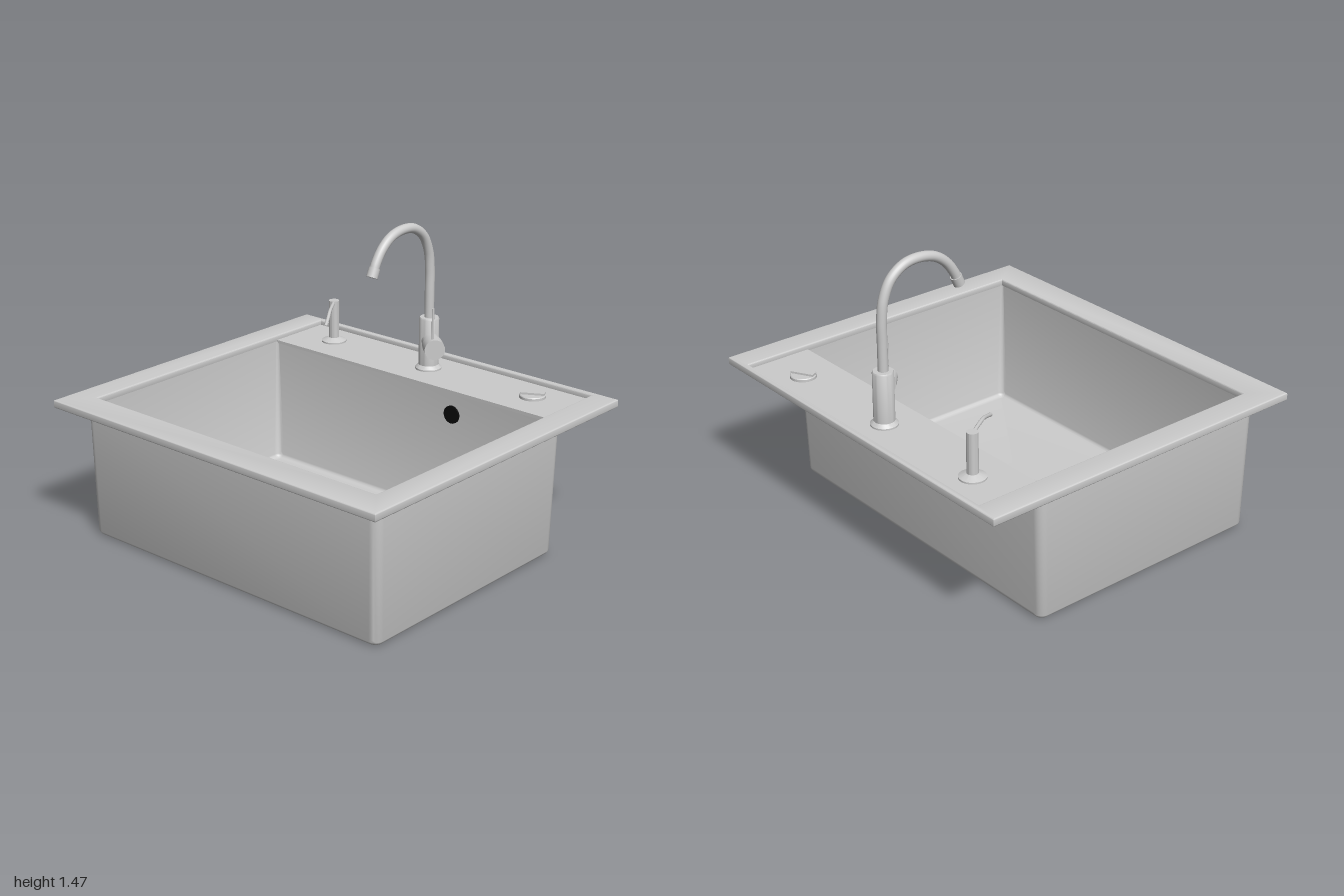
import * as THREE from 'three';
import { toCreasedNormals } from 'three/addons/utils/BufferGeometryUtils.js';

const grey = new THREE.MeshStandardMaterial({ color: 0xcccccc });
const greyDouble = new THREE.MeshStandardMaterial({ color: 0xcccccc, side: THREE.DoubleSide });
const dark = new THREE.MeshStandardMaterial({ color: 0x0a0a0a });

function add(parent, name, geometry, x = 0, y = 0, z = 0, material = grey) {
  const mesh = new THREE.Mesh(geometry, material);
  mesh.name = name;
  mesh.position.set(x, y, z);
  parent.add(mesh);
  return mesh;
}

function group(parent, name, x, y, z) {
  const g = new THREE.Group();
  g.name = name;
  g.position.set(x, y, z);
  parent.add(g);
  return g;
}

// Turned part from [radius, height] pairs, keeping its edges crisp
function turned(points, segments = 32) {
  const lathe = new THREE.LatheGeometry(points.map(p => new THREE.Vector2(...p)), segments);
  return toCreasedNormals(lathe, 0.6);
}

// Cylinder between two points
function rod(parent, name, a, b, radius) {
  const from = new THREE.Vector3(...a), to = new THREE.Vector3(...b);
  const dir = to.clone().sub(from);
  const mesh = add(parent, name, new THREE.CylinderGeometry(radius, radius, dir.length(), 28));
  mesh.position.copy(from).add(to).multiplyScalar(0.5);
  mesh.quaternion.setFromUnitVectors(new THREE.Vector3(0, 1, 0), dir.normalize());
  return mesh;
}

// Horizontal rounded rectangle, counter-clockwise seen from above
function ring(hx, zBack, zFront, r, y) {
  const points = [];
  const corners = [[hx - r, zBack + r], [-hx + r, zBack + r], [-hx + r, zFront - r], [hx - r, zFront - r]];
  corners.forEach(([cx, cz], k) => {
    for (let i = 0; i <= 6; i++) {
      const a = (k + i / 6) * Math.PI / 2;
      points.push([cx + r * Math.cos(a), y, cz - r * Math.sin(a)]);
    }
  });
  return points;
}

function loft(rings) {
  const n = rings[0].length, index = [];
  for (let i = 0; i < rings.length - 1; i++) {
    for (let j = 0; j < n; j++) {
      const k = (j + 1) % n, a = i * n + j, b = i * n + k;
      index.push(a, b, a + n, b, b + n, a + n);
    }
  }
  const g = new THREE.BufferGeometry();
  g.setAttribute('position', new THREE.Float32BufferAttribute(rings.flat(2), 3));
  g.setIndex(index);
  return toCreasedNormals(g, 0.6);
}

// Thick-walled bowl: outside from the base up, over the lip, and down to the floor
function bowlGeometry() {
  const rings = [ring(0.001, 0.1, 0.102, 0.001, 0)];
  const steps = [0, 1, 2, 3, 4, 5].map(i => i / 5 * Math.PI / 2);
  const f = 0.03;
  for (const a of steps) {
    const inset = f * (1 - Math.sin(a));
    rings.push(ring(0.9 - inset, -0.54 + inset, 0.757 - inset, 0.045 - inset, f * (1 - Math.cos(a))));
  }
  rings.push(ring(0.91, -0.56, 0.77, 0.045, 0.675));
  rings.push(ring(0.87, -0.52, 0.73, 0.012, 0.675));
  for (const a of steps) {
    const inset = f * (1 - Math.cos(a));
    rings.push(ring(0.863 - inset, -0.512 + inset, 0.722 - inset, 0.034 - inset, 0.03 + f * (1 - Math.sin(a))));
  }
  rings.push(ring(0.001, 0.1, 0.102, 0.001, 0.03));
  return loft(rings);
}

// Flat frame around the bowl and the tap ledge
function frameGeometry() {
  const b = 0.007;
  const rect = (s, x, z0, z1) => s.moveTo(-x, -z0).lineTo(-x, -z1).lineTo(x, -z1).lineTo(x, -z0).closePath();
  const shape = rect(new THREE.Shape(), 1 - b, -0.89 + b, 0.89 - b);
  shape.holes.push(rect(new THREE.Path(), 0.87 + b, -0.86 - b, 0.73 + b));
  const g = new THREE.ExtrudeGeometry(shape, {
    depth: 0.04 - 2 * b, bevelEnabled: true, bevelSize: b, bevelThickness: b, bevelSegments: 3,
  });
  g.rotateX(-Math.PI / 2).translate(0, 0.668 + b, 0);
  return toCreasedNormals(g, 0.6);
}

export function createModel() {
  const model = new THREE.Group();
  model.name = 'kitchenSink';
  const ledgeY = 0.682, tapZ = -0.705;

  add(model, 'bowl', bowlGeometry());
  add(model, 'rimFrame', frameGeometry());
  add(model, 'tapLedge', new THREE.BoxGeometry(1.75, 0.016, 0.348), 0, ledgeY - 0.008, -0.691);

  // Overflow opening in the back wall
  const overflow = add(model, 'overflow', new THREE.CylinderGeometry(0.045, 0.045, 0.012, 28), 0.295, 0.56, -0.515, dark);
  overflow.rotation.x = Math.PI / 2;

  // Drain with a fan of overlapping petals
  const drain = group(model, 'drain', -0.005, 0.03, 0.1);
  add(drain, 'drainBase', turned([[0.14, 0], [0.14, 0.003], [0, 0.003]]));
  const petals = 14, step = Math.PI * 2 / petals;
  for (let i = 0; i < petals; i++) {
    const petal = new THREE.CylinderGeometry(0.055, 0.145, 0.018, 3, 1, true, 0, step * 0.95);
    const mesh = add(drain, 'drainPetal', petal, 0, 0.013, 0, greyDouble);
    mesh.rotation.set(0, i * step, 0);
  }
  add(drain, 'drainCap', turned([[0.065, 0], [0.065, 0.022], [0.055, 0.03], [0.03, 0.036], [0.015, 0.037], [0.015, 0.042], [0, 0.042]]));

  // Tap: body, swan neck, nozzle and side valve
  const tap = group(model, 'tap', -0.003, 0, 0);
  add(tap, 'tapBody', turned([[0.066, ledgeY], [0.066, 0.69], [0.05, 0.706], [0.05, 0.945], [0.046, 0.952], [0, 0.952]]), 0, 0, tapZ + 0.004);
  const neck = new THREE.CatmullRomCurve3([
    [-0.7, 0.94], [-0.7, 1.08], [-0.7, 1.19], [-0.687, 1.29], [-0.645, 1.377], [-0.57, 1.43],
    [-0.485, 1.441], [-0.4, 1.423], [-0.335, 1.378], [-0.288, 1.315], [-0.263, 1.26],
  ].map(([z, y]) => new THREE.Vector3(0, y, z)));
  add(tap, 'swanNeck', new THREE.TubeGeometry(neck, 80, 0.024, 20));
  rod(tap, 'nozzle', [0, 1.295, -0.279], [0, 1.252, -0.259], 0.028);
  rod(tap, 'valveNeck', [0, 0.835, tapZ], [0.085, 0.835, -0.627], 0.044);
  rod(tap, 'valveKnob', [0.073, 0.835, -0.638], [0.132, 0.835, -0.584], 0.051);
  rod(tap, 'lever', [0.108, 0.86, -0.595], [0.108, 1.04, -0.595], 0.006);

  // Soap dispenser
  const soap = group(model, 'soapDispenser', -0.638, 0, tapZ);
  add(soap, 'dispenserBody', turned([[0.064, ledgeY], [0.064, 0.69], [0.027, 0.706], [0.027, 0.904], [0, 0.904]]));
  const spout = new THREE.CatmullRomCurve3([
    [0, 0.893, 0], [0.05, 0.893, 0.077], [0.085, 0.889, 0.13], [0.115, 0.873, 0.176], [0.14, 0.857, 0.217],
  ].map(p => new THREE.Vector3(...p)));
  add(soap, 'dispenserSpout', new THREE.TubeGeometry(spout, 24, 0.009, 10), 0, 0, 0, greyDouble);

  // Drain control knob with a diagonal grip
  const knob = group(model, 'drainControl', 0.635, ledgeY, tapZ);
  add(knob, 'controlDisc', turned([[0.064, 0], [0.064, 0.012], [0.06, 0.016], [0, 0.016]]));
  const grip = add(knob, 'controlGrip', new THREE.BoxGeometry(0.118, 0.012, 0.034), 0, 0.02, 0);
  grip.rotation.y = 0.5;

  return model;
}
